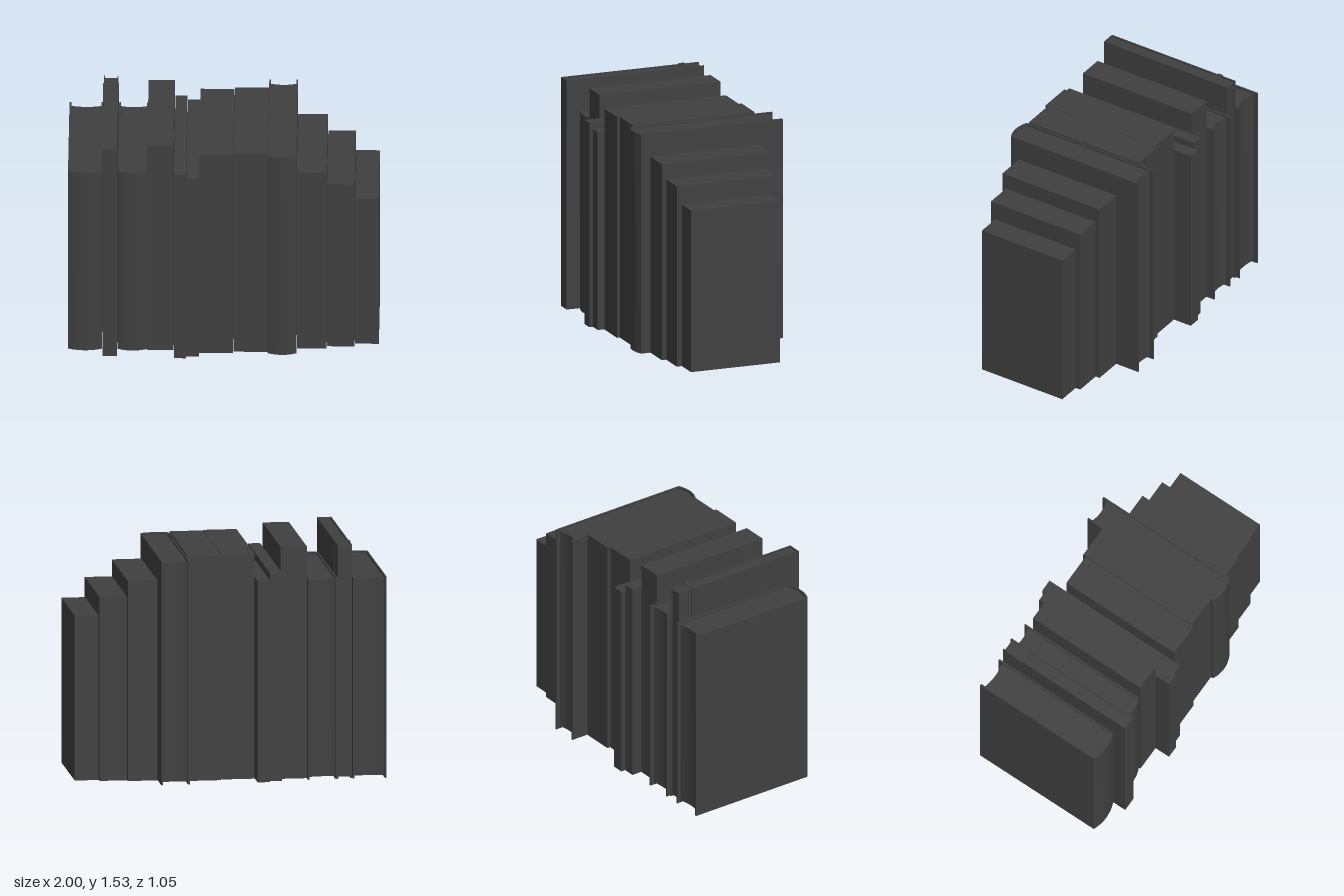
import * as THREE from 'three';
import { toCreasedNormals } from 'three/addons/utils/BufferGeometryUtils.js';

const grey = new THREE.MeshStandardMaterial({ color: 0x404040 });
grey.name = 'dark grey';

// Extrudes a plan outline (x, -z) upwards from y0 to y1.
function upright(name, shape, y0, y1) {
  const geo = new THREE.ExtrudeGeometry(shape, { depth: y1 - y0, bevelEnabled: false, curveSegments: 12 });
  geo.rotateX(-Math.PI / 2);
  geo.translate(0, y0, 0);
  const mesh = new THREE.Mesh(toCreasedNormals(geo, 0.5), grey);
  mesh.name = name;
  return mesh;
}

// Plain block given by its limits.
function block(name, x0, x1, y0, y1, z0, z1) {
  const mesh = new THREE.Mesh(new THREE.BoxGeometry(x1 - x0, y1 - y0, z1 - z0), grey);
  mesh.name = name;
  mesh.position.set((x0 + x1) / 2, (y0 + y1) / 2, (z0 + z1) / 2);
  return mesh;
}

// Cover wrapped round three sides, with a page block set in; bulge rounds the spine, hollow the fore edge.
function boundBook(name, { x0, x1, h, back, front, pagesBack, bulge, hollow, board, inset }) {
  const book = new THREE.Group();
  book.name = name;
  const mid = (x0 + x1) / 2;
  const a = x0 + board, b = x1 - board;
  const edge = front - bulge;

  const cover = new THREE.Shape();
  cover.moveTo(x0, -back);
  cover.lineTo(x0, -edge);
  cover.quadraticCurveTo(mid, -(edge + 2 * bulge), x1, -edge);
  cover.lineTo(x1, -back);
  cover.lineTo(b, -back);
  cover.lineTo(b, -(edge - board));
  cover.quadraticCurveTo(mid, -(edge - board + 2 * bulge), a, -(edge - board));
  cover.lineTo(a, -back);
  cover.closePath();
  book.add(upright('cover', cover, 0, h));

  const pages = new THREE.Shape();
  pages.moveTo(a, -(pagesBack - hollow));
  pages.lineTo(a, -(edge - board));
  pages.quadraticCurveTo(mid, -(edge - board + 2 * bulge), b, -(edge - board));
  pages.lineTo(b, -(pagesBack - hollow));
  pages.quadraticCurveTo(mid, -(pagesBack + hollow), a, -(pagesBack - hollow));
  book.add(upright('pages', pages, inset, h - inset));
  return book;
}

export function createModel() {
  const shelf = new THREE.Group();
  shelf.name = 'rowOfBooks';

  // Hardbacks with rounded spines
  const hard = { bulge: 0.022, hollow: 0.014, board: 0.011, inset: 0.014 };
  shelf.add(
    boundBook('wideHardback', { ...hard, x0: -1, x1: -0.782, h: 1.32, back: -0.48, front: 0.43, pagesBack: -0.44 }),
    boundBook('narrowHardback', { ...hard, x0: -0.68, x1: -0.49, h: 1.32, back: -0.48, front: 0.43, pagesBack: -0.44 }),
    boundBook('tallHardback', { ...hard, x0: 0.285, x1: 0.47, h: 1.465, back: -0.53, front: 0.475, pagesBack: -0.487 })
  );

  // Notebook held shut by an elastic band
  const notebook = boundBook('notebook', {
    x0: -0.778, x1: -0.684, h: 1.53, back: -0.455, front: 0.5, pagesBack: -0.445,
    bulge: 0, hollow: 0, board: 0.008, inset: 0.01,
  });
  const band = new THREE.Group();
  band.name = 'elasticBand';
  band.add(
    block('bandTop', -0.782, -0.68, 1.53, 1.535, -0.355, -0.318),
    block('bandBottom', -0.782, -0.68, 0, 0.004, -0.355, -0.318),
    block('bandRight', -0.782, -0.778, 0, 1.535, -0.355, -0.318),
    block('bandLeft', -0.684, -0.68, 0, 1.535, -0.355, -0.318)
  );
  notebook.add(band);
  shelf.add(notebook);

  // Paperbacks: left edge, right edge, height, back, front
  const paperbacks = [
    [-0.49, -0.32, 1.52, -0.42, 0.42],
    [-0.318, -0.24, 1.365, -0.49, 0.525],
    [-0.238, -0.157, 1.32, -0.52, 0.5],
    [-0.155, 0.062, 1.475, -0.39, 0.455],
    [0.065, 0.283, 1.475, -0.41, 0.437],
    [0.472, 0.664, 1.31, -0.36, 0.39],
    [0.667, 0.844, 1.205, -0.33, 0.36],
    [0.847, 1, 1.08, -0.295, 0.325],
  ];
  paperbacks.forEach(([x0, x1, h, z0, z1], i) => {
    shelf.add(block('paperback' + (i + 1), x0, x1, 0, h, z0, z1));
  });
  return shelf;
}
